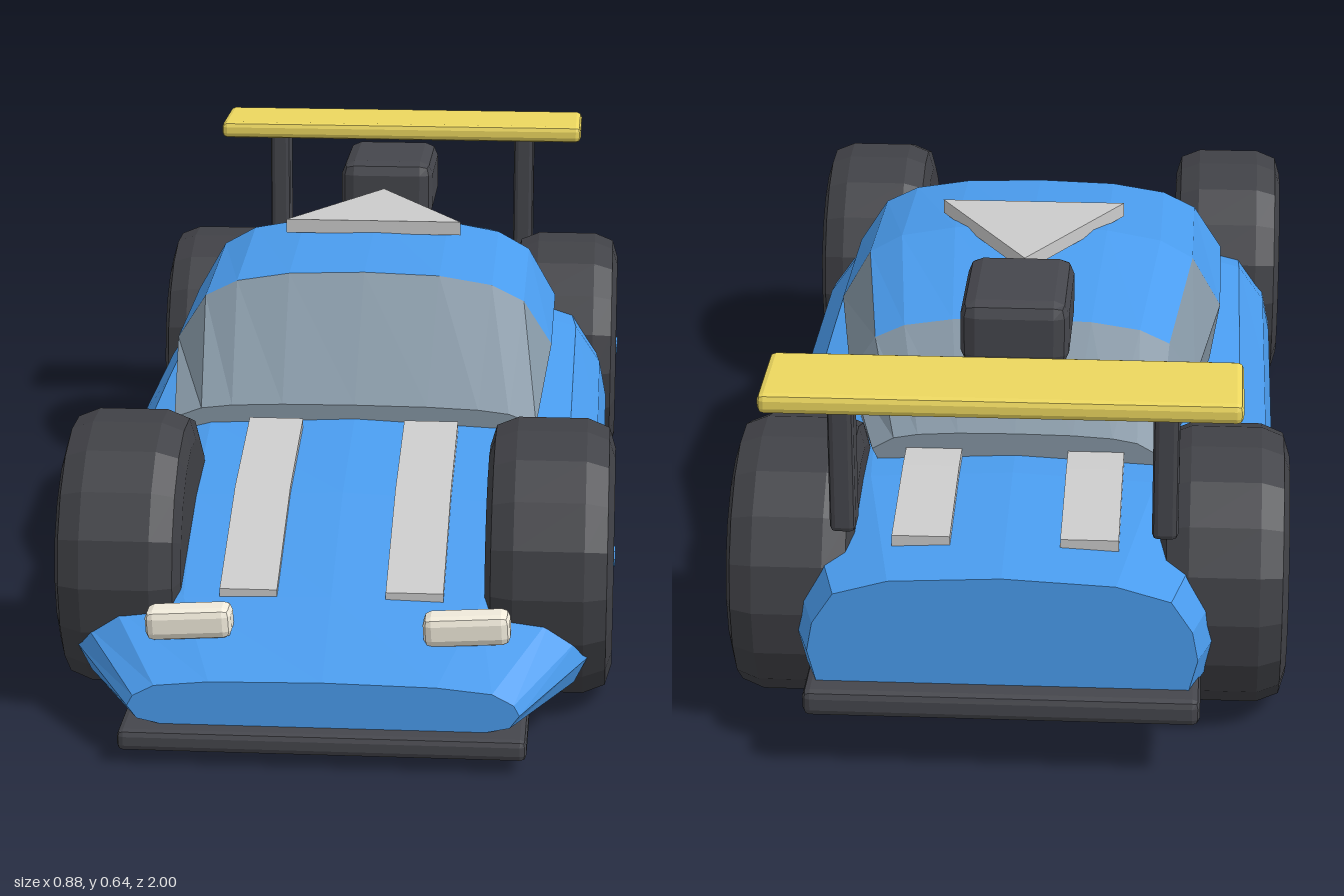
import * as THREE from 'three';
import { RoundedBoxGeometry } from 'three/addons/geometries/RoundedBoxGeometry.js';

const paint = (color) => new THREE.MeshStandardMaterial({ color, flatShading: true });

// Mirrors a half profile (bottom centre to top centre) into a closed ring
function ring(profile, z, halfWidth, y0, y1) {
  const half = profile.map(([u, v]) => [u * halfWidth, y0 + v * (y1 - y0), z]);
  const other = half.slice(1, -1).reverse().map(([x, y, w]) => [-x, y, w]);
  return [...half, ...other];
}

// Skins rings ordered from front to back; keep() selects panels
function loft(rings, keep = () => true, caps = true) {
  const pos = [];
  const n = rings[0].length;
  for (let s = 0; s < rings.length - 1; s++) {
    for (let i = 0; i < n; i++) {
      if (!keep(s, i)) continue;
      const j = (i + 1) % n;
      const a = rings[s][i], b = rings[s][j], c = rings[s + 1][j], d = rings[s + 1][i];
      pos.push(...a, ...d, ...c, ...a, ...c, ...b);
    }
  }
  if (caps) {
    const f = rings[0], r = rings[rings.length - 1];
    for (let i = 1; i < n - 1; i++) {
      pos.push(...f[0], ...f[i], ...f[i + 1]);
      pos.push(...r[0], ...r[i + 1], ...r[i]);
    }
  }
  const g = new THREE.BufferGeometry();
  g.setAttribute('position', new THREE.Float32BufferAttribute(pos, 3));
  g.computeVertexNormals();
  return g;
}

export function createModel() {
  const car = new THREE.Group();
  car.name = 'raceCar';
  const blue = paint(0x4a9cee);
  const glass = paint(0x8495a3);
  const dark = paint(0x45464c);
  const tyre = paint(0x404146);
  const yellow = paint(0xecd75f);
  const cream = paint(0xf2ecdc);
  const tan = paint(0xa88a60);
  const grey = paint(0xcccccc);

  const add = (name, geometry, material, parent = car) => {
    const mesh = new THREE.Mesh(geometry, material);
    mesh.name = name;
    parent.add(mesh);
    return mesh;
  };
  // Chamfered box given by its limits on each axis
  const block = (name, [x0, x1], [y0, y1], [z0, z1], material, bevel) => {
    const mesh = add(name, new RoundedBoxGeometry(x1 - x0, y1 - y0, z1 - z0, 1, bevel), material);
    mesh.position.set((x0 + x1) / 2, (y0 + y1) / 2, (z0 + z1) / 2);
    return mesh;
  };

  // Body shell: z, half width, bottom, top
  const bodyProfile = [[0, 0], [0.8, 0], [0.95, 0.13], [1, 0.4], [0.97, 0.62], [0.86, 0.85], [0.58, 0.96], [0, 1]];
  const body = [
    [0.965, 0.3, 0.06, 0.135],
    [0.8, 0.4, 0.065, 0.215],
    [0.58, 0.415, 0.08, 0.315],
    [0.34, 0.42, 0.085, 0.368],
    [0, 0.42, 0.085, 0.38],
    [-0.4, 0.42, 0.085, 0.385],
    [-0.68, 0.39, 0.09, 0.375],
    [-0.96, 0.3, 0.11, 0.33],
  ].map(([z, w, y0, y1]) => ring(bodyProfile, z, w, y0, y1));
  add('body', loft(body), blue);

  // Cabin: painted roof and glazed panels share one set of sections
  const cabinProfile = [[0, 0], [0.95, 0], [1, 0.42], [0.85, 0.78], [0.68, 0.91], [0.4, 0.98], [0, 1]];
  const cabin = [
    [0.34, 0.305, 0.345, 0.392],
    [0.13, 0.325, 0.36, 0.57],
    [-0.17, 0.325, 0.36, 0.597],
    [-0.43, 0.285, 0.36, 0.535],
    [-0.62, 0.23, 0.36, 0.415],
  ].map(([z, w, y0, y1]) => ring(cabinProfile, z, w, y0, y1));
  const glazed = (s, i) => {
    const band = Math.min(i, 11 - i);
    return s === 0 || s === 3 || (s === 2 && (band === 1 || band === 2));
  };
  add('cabinRoof', loft(cabin, (s, i) => !glazed(s, i), false), blue);
  add('cabinGlass', loft(cabin, glazed), glass);

  // Wheels with rounded shoulders, and the axles through them
  const tyreProfile = [[0, -0.1], [0.175, -0.1], [0.208, -0.09], [0.222, -0.055], [0.222, 0.055], [0.208, 0.09], [0.175, 0.1], [0, 0.1]]
    .map(([r, y]) => new THREE.Vector2(r, y));
  const wheelGeometry = new THREE.LatheGeometry(tyreProfile, 18).rotateZ(Math.PI / 2);
  const axleGeometry = new THREE.CylinderGeometry(0.017, 0.017, 0.882, 8).rotateZ(Math.PI / 2);
  for (const [end, z] of [['front', 0.61], ['rear', -0.68]]) {
    add(end + 'Axle', axleGeometry, blue).position.set(0, 0.228, z);
    for (const side of [-1, 1]) {
      add(end + (side > 0 ? 'Left' : 'Right') + 'Wheel', wheelGeometry, tyre).position.set(side * 0.338, 0.228, z);
    }
  }

  // Stripes that follow the bonnet and the tail
  const stripe = (name, x, path) => add(name, loft(path.map(([z, y]) => [
    [x - 0.045, y - 0.03, z], [x + 0.045, y - 0.03, z], [x + 0.045, y, z], [x - 0.045, y, z],
  ])), grey);

  // Paired parts
  for (const side of [-1, 1]) {
    const tag = side > 0 ? 'Left' : 'Right';
    const span = (a, b) => (side > 0 ? [a, b] : [-b, -a]);
    stripe('bonnetStripe' + tag, side * 0.13, [[0.8, 0.224], [0.58, 0.322], [0.36, 0.373]]);
    stripe('tailStripe' + tag, side * 0.13, [[-0.61, 0.387], [-0.68, 0.384], [-0.87, 0.354]]);
    const lamp = block('headlight' + tag, span(0.148, 0.282), [0.168, 0.217], [0.835, 0.89], cream, 0.013);
    lamp.rotation.z = 0.06;
    block('wingStrut' + tag, span(0.226, 0.266), [0.375, 0.615], [-0.91, -0.855], dark, 0.009);
    block('underStrip' + tag, span(0.045, 0.108), [0.008, 0.016], [0.62, 0.82], tan, 0.002);
  }

  // Rear wing, roof scoop and bumpers
  block('rearWing', [-0.36, 0.36], [0.606, 0.638], [-0.988, -0.818], yellow, 0.01);
  block('airScoop', [-0.086, 0.086], [0.534, 0.645], [-0.64, -0.415], dark, 0.024);
  block('frontBumper', [-0.312, 0.312], [0.028, 0.062], [0.83, 1], dark, 0.01);
  block('rearBumper', [-0.305, 0.305], [0.104, 0.147], [-1, -0.87], dark, 0.012);
  block('underPost', [-0.017, 0.017], [0.008, 0.08], [0.65, 0.82], dark, 0.006);

  // Triangular roof marker pointing to the back
  const triangle = new THREE.Shape([[-0.156, 0.087], [0.156, 0.087], [0, 0.352]]
    .map(([x, y]) => new THREE.Vector2(x, y)));
  const marker = new THREE.ExtrudeGeometry(triangle, { depth: 0.024, bevelEnabled: false });
  marker.rotateX(-Math.PI / 2);
  add('roofTriangle', marker, grey).position.y = 0.587;

  return car;
}
